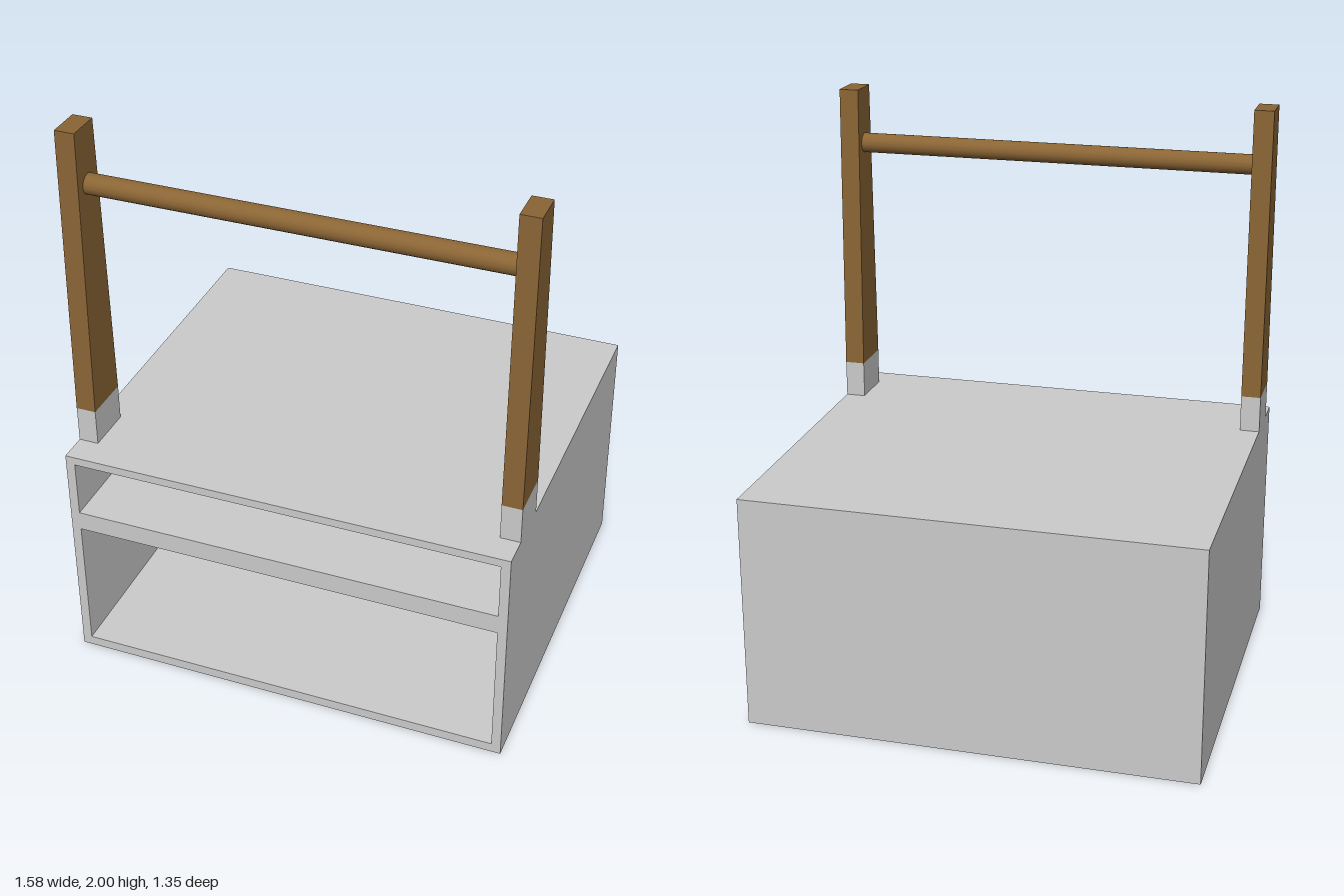
import * as THREE from 'three';

const W = 0.79, H = 0.835, D = 0.675, BACK = 0.03;

function rectPath(target, x0, y0, x1, y1) {
  target.moveTo(x0, y0);
  target.lineTo(x1, y0);
  target.lineTo(x1, y1);
  target.lineTo(x0, y1);
  target.closePath();
  return target;
}

export function createModel() {
  const model = new THREE.Group();
  const grey = new THREE.MeshStandardMaterial({ color: 0xcccccc });
  const wood = new THREE.MeshStandardMaterial({ color: 0x8b6535 });

  const add = (name, geometry, material, x, y, z, parent = model) => {
    const mesh = new THREE.Mesh(geometry, material);
    mesh.name = name;
    mesh.position.set(x, y, z);
    parent.add(mesh);
    return mesh;
  };

  // Cabinet shell: a frame with a shallow upper and a tall lower compartment
  const frame = rectPath(new THREE.Shape(), -W, 0, W, H);
  for (const [y0, y1] of [[0.035, 0.53], [0.6, 0.805]]) {
    frame.holes.push(rectPath(new THREE.Path(), -0.757, y0, 0.757, y1));
  }
  const shell = new THREE.ExtrudeGeometry(frame, { depth: 2 * D - BACK, bevelEnabled: false });
  add('cabinetShell', shell, grey, 0, 0, -D + BACK);
  add('backPanel', new THREE.BoxGeometry(2 * W, H, BACK), grey, 0, H / 2, -D + BACK / 2);

  // Posts: a grey foot on the cabinet and a wooden upright tapering front to back
  const footTop = 0.965, postHeight = 2 - footTop;
  for (const [side, s] of [['left', 1], ['right', -1]]) {
    const post = new THREE.Group();
    post.name = side + 'Post';
    post.position.set(s * 0.755, 0, 0.486);
    model.add(post);
    add(side + 'PostFoot', new THREE.BoxGeometry(0.07, footTop - H, 0.17), grey,
      0, (footTop + H) / 2, 0, post);

    const upright = new THREE.BoxGeometry(0.07, postHeight, 0.17);
    const p = upright.attributes.position;
    for (let i = 0; i < p.count; i++) {
      if (p.getY(i) > 0) p.setZ(i, p.getZ(i) * 0.72);
    }
    upright.computeVertexNormals();
    add(side + 'PostUpright', upright, wood, 0, footTop + postHeight / 2, 0, post);
  }

  // Round rail between the posts
  const rail = new THREE.CylinderGeometry(0.036, 0.036, 1.46, 16);
  rail.rotateZ(Math.PI / 2);
  add('handRail', rail, wood, 0, 1.797, 0.485);

  return model;
}
